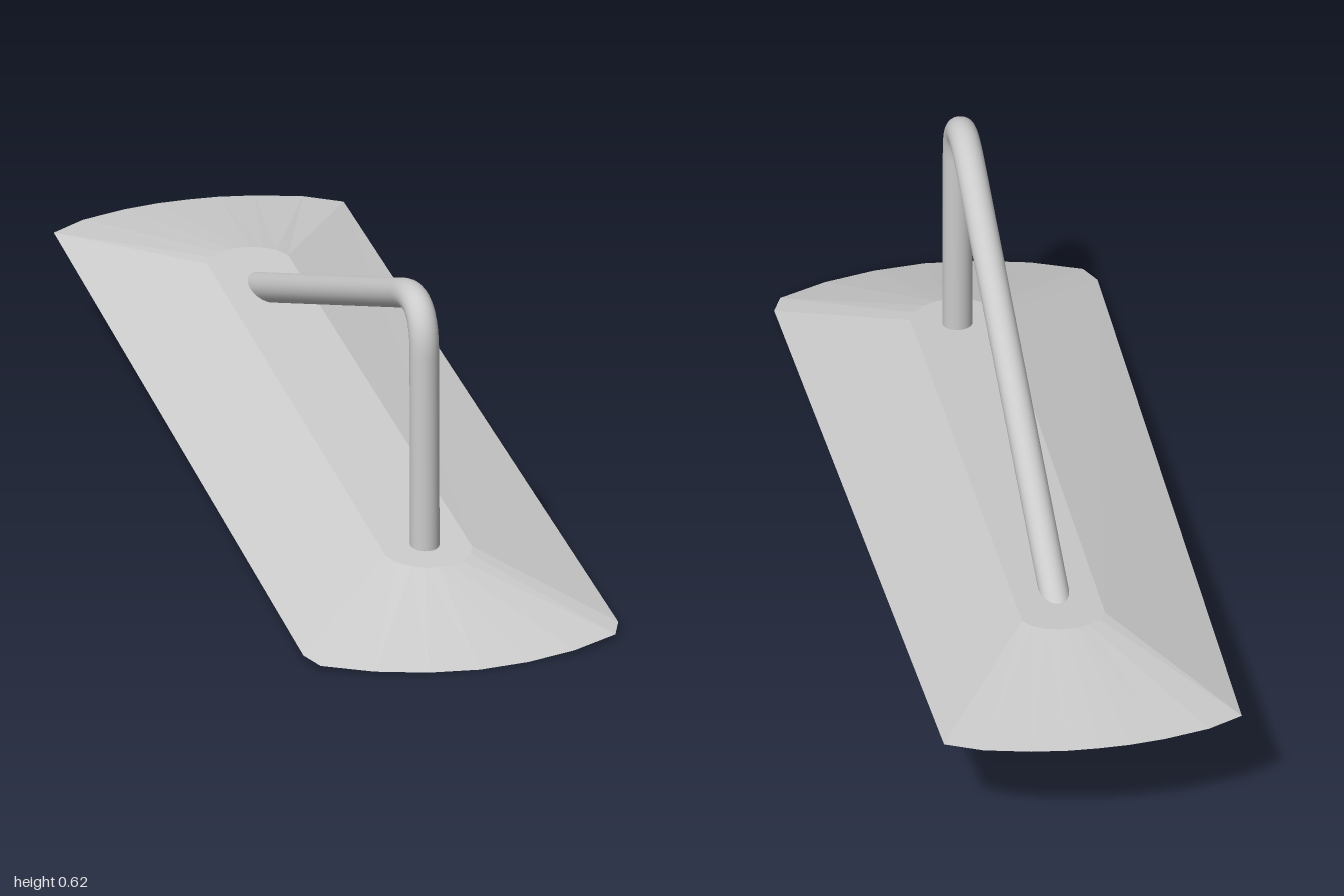
import * as THREE from 'three';

const material = () => new THREE.MeshStandardMaterial({ color: 0xcccccc, side: THREE.DoubleSide });

// Height of the tilted underside at a given z
const tilt = (z) => 0.1075 * (1 - z);

// Closed outline from two half ends [x, z], each listed from the side to the middle
function outline(front, back, lift) {
  const mirror = (half) => half.slice(0, -1).reverse().map(([x, z]) => [-x, z]);
  const frontArc = [...front, ...mirror(front)];            // +x to -x
  const backArc = [...back, ...mirror(back)].reverse();     // -x to +x
  return [...frontArc, ...backArc].map(([x, z]) => new THREE.Vector3(x, tilt(z) + lift, z));
}

// Tilted plate with bevelled sides and curved ends
function createPlate() {
  const bottom = outline(
    [[0.315, 0.868], [0.295, 0.917], [0.2, 0.963], [0.1, 0.99], [0, 1]],
    [[0.29, -0.925], [0.22, -0.964], [0.13, -0.988], [0.06, -0.998], [0, -1]], 0);
  const top = outline(
    [[0.087, 0.65], [0.075, 0.68], [0.05, 0.704], [0.025, 0.716], [0, 0.72]],
    [[0.081, -0.59], [0.066, -0.616], [0.042, -0.632], [0.02, -0.639], [0, -0.64]], 0.075);
  const positions = [];
  const tri = (...pts) => pts.forEach((p) => positions.push(p.x, p.y, p.z));
  const n = bottom.length;
  for (let i = 0; i < n; i++) {
    const j = (i + 1) % n;
    tri(bottom[i], top[i], top[j]);
    tri(bottom[i], top[j], bottom[j]);
    if (i > 0 && i < n - 1) {
      tri(top[0], top[j], top[i]);
      tri(bottom[0], bottom[i], bottom[j]);
    }
  }
  const geometry = new THREE.BufferGeometry();
  geometry.setAttribute('position', new THREE.Float32BufferAttribute(positions, 3));
  geometry.computeVertexNormals();
  const mat = material();
  mat.flatShading = true;
  const mesh = new THREE.Mesh(geometry, mat);
  mesh.name = 'basePlate';
  return mesh;
}

// Bent rod: upright post, rounded corner, long sloping arm
function createRod() {
  const p = (y, z) => new THREE.Vector3(0, y, z);
  const path = new THREE.CurvePath();
  path.add(new THREE.LineCurve3(p(0.03, 0.622), p(0.51, 0.618)));
  path.add(new THREE.QuadraticBezierCurve3(p(0.51, 0.618), p(0.632, 0.617), p(0.578, 0.47)));
  path.add(new THREE.LineCurve3(p(0.578, 0.47), p(0.159, -0.675)));
  const mesh = new THREE.Mesh(new THREE.TubeGeometry(path, 120, 0.029, 24, false), material());
  mesh.name = 'bentRod';
  return mesh;
}

export function createModel() {
  const model = new THREE.Group();
  model.name = 'plateWithBentRod';
  model.add(createPlate(), createRod());
  return model;
}
